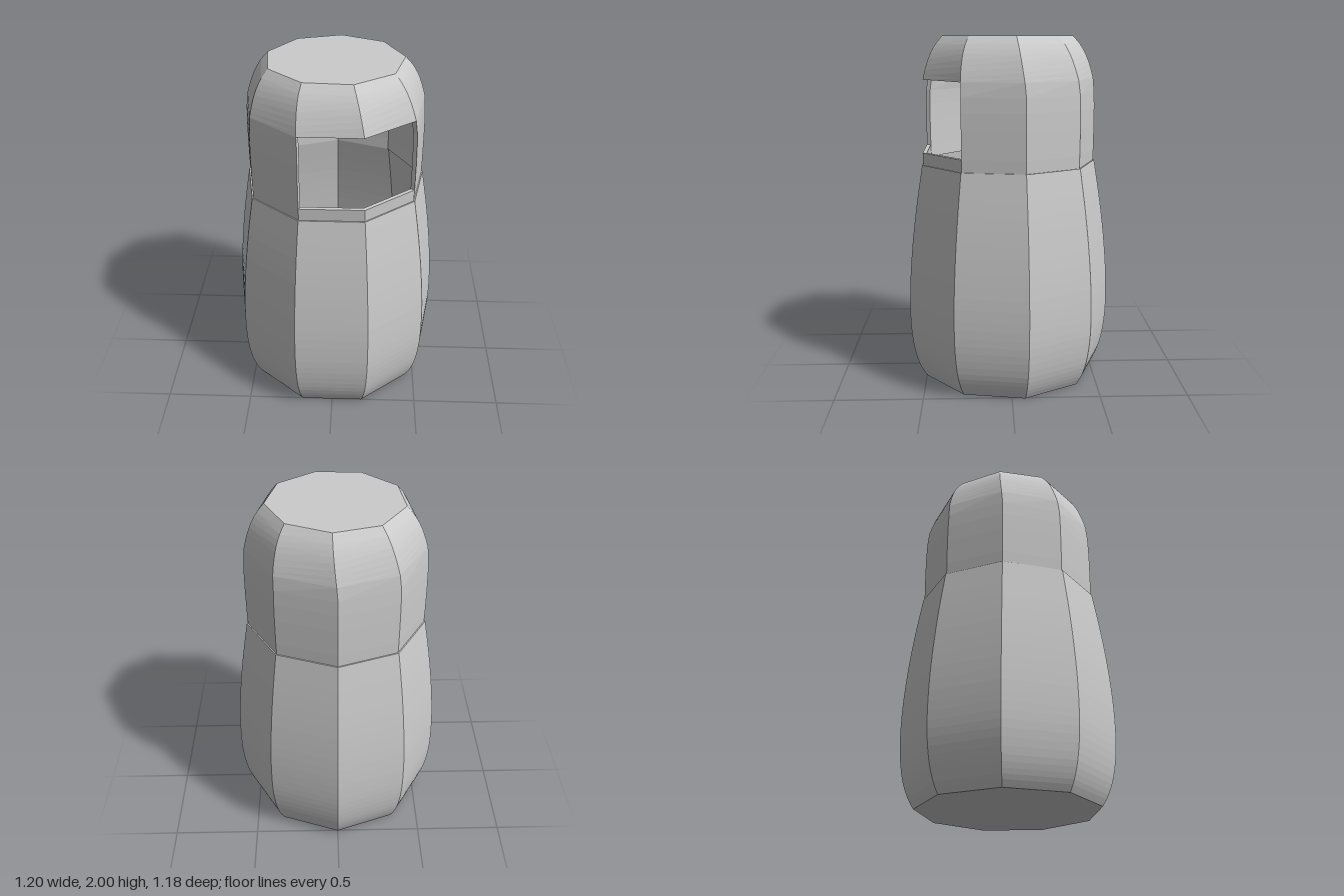
import * as THREE from 'three';

const SIDES = 9, WALL = 0.025, CENTRE_Z = 0.014;
const SILL = 1.35, LINTEL = 1.76, SEAM = 1.28;
const OPEN_COLUMNS = 2; // the front facet and its neighbour on +x

// Corner k of the nine-sided ring; the top of the head turns slightly
function corner(k, [r, y]) {
  const t = THREE.MathUtils.clamp((y - 1.7) / 0.3, 0, 1);
  const a = THREE.MathUtils.degToRad(-20 + k * 360 / SIDES - 3.8 * t);
  return new THREE.Vector3(r * Math.sin(a), y, r * Math.cos(a) + CENTRE_Z);
}

function addQuad(out, a, b, c, d) {
  for (const [p, q, s] of [[a, b, c], [a, c, d]]) {
    if (p.distanceTo(q) < 1e-6 || q.distanceTo(s) < 1e-6 || s.distanceTo(p) < 1e-6) continue;
    for (const v of [p, q, s]) out.push(v.x, v.y, v.z);
  }
}

// Sweep a radius/height profile round the nine corners
function sweep(out, profile, isOpen = () => false) {
  for (let i = 0; i < profile.length - 1; i++) {
    const p = profile[i], q = profile[i + 1];
    for (let k = 0; k < SIDES; k++) {
      if (isOpen(k, p, q)) continue;
      addQuad(out, corner(k, p), corner(k + 1, p), corner(k + 1, q), corner(k, q));
    }
  }
}

function smoothProfile(points, steps) {
  const curve = new THREE.SplineCurve(points.map(([r, y]) => new THREE.Vector2(r, y)));
  return curve.getPoints(steps).map(v => [v.x, v.y]);
}

function facetedMesh(name, out) {
  const geometry = new THREE.BufferGeometry();
  geometry.setAttribute('position', new THREE.Float32BufferAttribute(out, 3));
  geometry.computeVertexNormals();
  const mesh = new THREE.Mesh(geometry, new THREE.MeshStandardMaterial({
    color: 0xcccccc, flatShading: true, side: THREE.DoubleSide,
  }));
  mesh.name = name;
  return mesh;
}

// Hollow body with a closed bottom and an open top
function createBody() {
  const outer = smoothProfile([
    [0.518, 0], [0.552, 0.06], [0.583, 0.15], [0.604, 0.28], [0.61, 0.42],
    [0.605, 0.6], [0.586, 0.82], [0.556, 1.05], [0.518, SEAM],
  ], 24);
  const inner = outer.map(([r, y]) => [r - WALL, Math.max(y, WALL)]).reverse();
  const out = [];
  sweep(out, [[0, 0], ...outer, ...inner, [0, WALL]]);
  return facetedMesh('body', out);
}

// Hollow head with a two-facet window
function createHead() {
  const dome = smoothProfile([
    [0.502, LINTEL], [0.485, 1.82], [0.458, 1.89], [0.423, 1.95], [0.38, 2],
  ], 9);
  const outer = [[0.511, SEAM], [0.513, SILL], [0.514, 1.5], [0.513, 1.6], [0.51, 1.68], ...dome];
  const inner = outer.map(([r, y]) => [r - WALL, Math.min(y, 2 - WALL)]).reverse();
  const inWindow = y => y > SILL - 1e-4 && y < LINTEL + 1e-4;
  const isOpen = (k, p, q) => k < OPEN_COLUMNS && inWindow(p[1]) && inWindow(q[1]);
  const out = [];
  sweep(out, [outer[0], ...outer.slice(1), [0, 2], [0, 2 - WALL], ...inner, outer[0]], isOpen);

  // Wall thickness round the window: sill, lintel and two jambs
  const edge = outer.filter(p => inWindow(p[1]));
  const inset = ([r, y]) => [r - WALL, y];
  const low = edge[0], high = edge[edge.length - 1];
  for (let k = 0; k < OPEN_COLUMNS; k++) {
    addQuad(out, corner(k, low), corner(k + 1, low), corner(k + 1, inset(low)), corner(k, inset(low)));
    addQuad(out, corner(k, inset(high)), corner(k + 1, inset(high)), corner(k + 1, high), corner(k, high));
  }
  for (let i = 0; i < edge.length - 1; i++) {
    const p = edge[i], q = edge[i + 1], n = OPEN_COLUMNS;
    addQuad(out, corner(0, p), corner(0, inset(p)), corner(0, inset(q)), corner(0, q));
    addQuad(out, corner(n, inset(p)), corner(n, p), corner(n, q), corner(n, inset(q)));
  }
  return facetedMesh('head', out);
}

export function createModel() {
  const model = new THREE.Group();
  model.name = 'hollowFigure';
  model.add(createBody(), createHead());
  return model;
}
